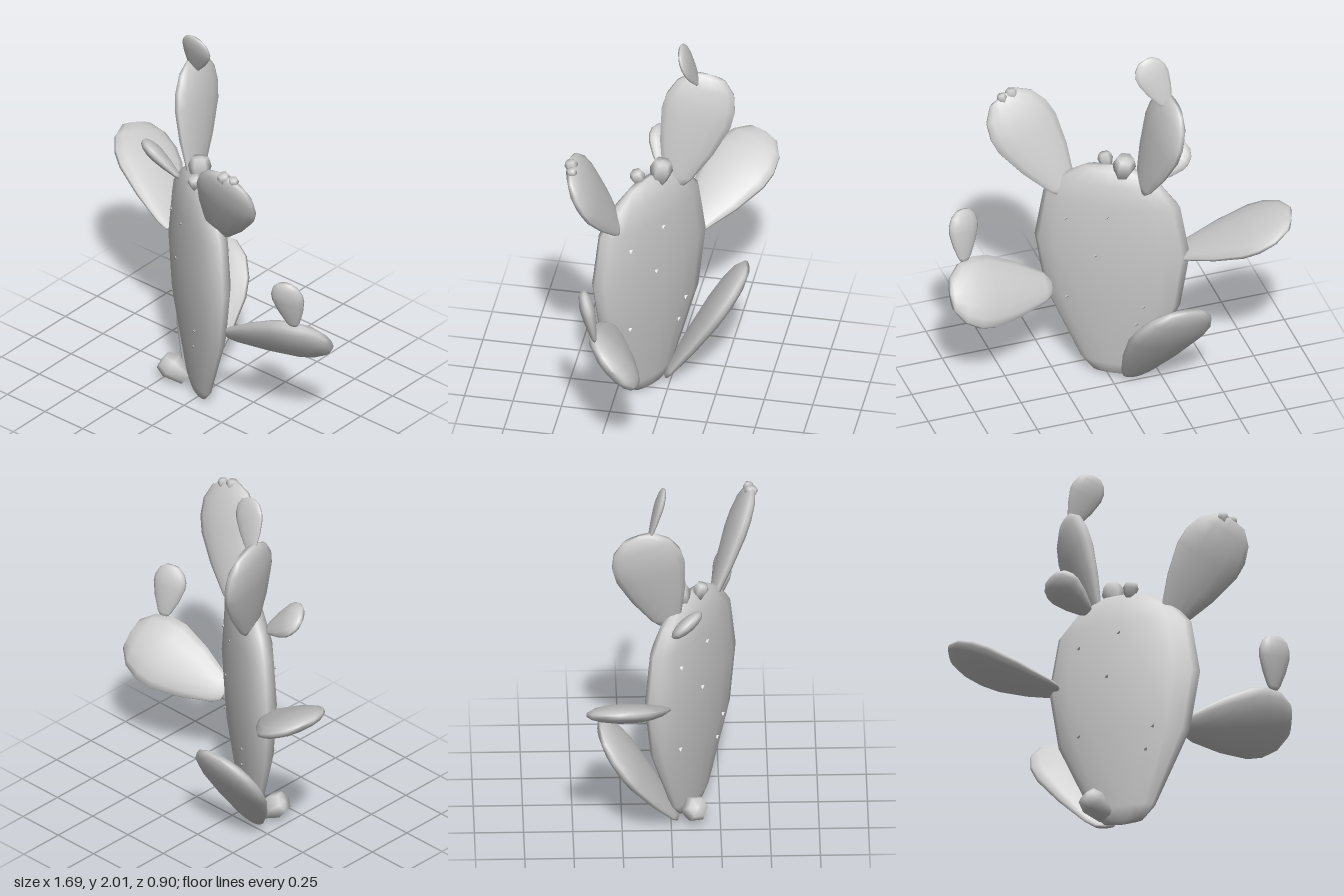
import * as THREE from 'three';

const material = new THREE.MeshStandardMaterial({ color: 0xcccccc });

// Outline profiles as [half width, position along the pad], both 0..1
const trunkOutline = [[0, 0], [0.26, 0.012], [0.42, 0.065], [0.87, 0.37], [1, 0.62],
  [0.88, 0.84], [0.64, 0.93], [0.35, 0.985], [0, 1]];
const padOutline = [[0, 0], [0.26, 0.01], [0.42, 0.08], [0.76, 0.34], [0.98, 0.6],
  [0.97, 0.74], [0.8, 0.88], [0.45, 0.98], [0, 1]];
const budOutline = [[0, 0], [0.6, 0], [1, 0.62], [0.75, 0.95], [0, 1]];

// Turns an object so its y axis follows dir and its z axis follows normal
function orient(object, dir, normal) {
  const y = dir.clone().normalize();
  const x = new THREE.Vector3().crossVectors(y, normal).normalize();
  const z = new THREE.Vector3().crossVectors(x, y);
  object.quaternion.setFromRotationMatrix(new THREE.Matrix4().makeBasis(x, y, z));
}

// Flattened lathe running from base to tip, with its flat side facing normal
function lathe(name, outline, sides, base, tip, normal, width, thickness) {
  const start = new THREE.Vector3(...base);
  const dir = new THREE.Vector3(...tip).sub(start);
  const geometry = new THREE.LatheGeometry(outline.map(p => new THREE.Vector2(...p)), sides);
  geometry.scale(width / 2, dir.length(), thickness / 2);
  const mesh = new THREE.Mesh(geometry, material);
  mesh.name = name;
  mesh.position.copy(start);
  orient(mesh, dir, new THREE.Vector3(...normal));
  return mesh;
}

export function createModel() {
  const group = new THREE.Group();
  group.name = 'pricklyPear';

  // Main pad
  const W = 0.81, T = 0.22, H = 1.29;
  const trunk = lathe('mainPad', trunkOutline, 16, [-0.03, 0, 0.1], [-0.02, H, 0.1],
    [-0.54, 0, 0.84], W, T);
  group.add(trunk);

  // Branch pads: name, base, tip, normal, width, thickness
  const pads = [
    ['upperLeftPad', [0.18, 1.1, 0.21], [0.46, 1.62, 0.42], [0, -0.375, 0.93], 0.37, 0.1],
    ['upperRightPad', [-0.14, 1.18, -0.01], [-0.27, 1.79, -0.17], [0.96, 0.22, -0.15], 0.38, 0.11],
    ['topPad', [-0.245, 1.75, -0.115], [-0.15, 2.0, -0.035], [0, -0.27, 0.96], 0.18, 0.045],
    ['rightArmPad', [-0.32, 0.78, -0.05], [-0.83, 1.07, -0.35], [0.49, 0.87, 0], 0.37, 0.1],
    ['leftArmPad', [0.26, 0.52, 0.22], [0.84, 0.67, 0.12], [0.34, -0.6, 0.72], 0.39, 0.13],
    ['leftArmSmallPad', [0.72, 0.77, 0.24], [0.71, 1.05, 0.3], [0.3, -0.2, 0.9], 0.18, 0.075],
    ['lowerBackPad', [-0.11, 0.01, 0.03], [-0.27, 0.62, -0.36], [0, 0.56, 0.83], 0.44, 0.11],
    ['smallShoulderPad', [-0.2, 1.19, 0.05], [-0.41, 1.35, 0.09], [0.2, 0.75, -0.6], 0.2, 0.075],
  ];
  for (const [name, ...rest] of pads) group.add(lathe(name, padOutline, 14, ...rest));

  // Fruit buds: base, tip, diameter
  const buds = [
    [[-0.06, 1.23, 0.06], [-0.075, 1.365, 0.035], 0.12],
    [[-0.01, 1.25, 0.14], [-0.003, 1.33, 0.165], 0.08],
    [[0.41, 1.58, 0.41], [0.405, 1.645, 0.425], 0.07],
    [[0.455, 1.58, 0.4], [0.465, 1.635, 0.41], 0.055],
    [[-0.12, 0.04, 0.09], [-0.24, 0.13, 0.14], 0.14],
  ];
  for (const [base, tip, d] of buds) {
    group.add(lathe('fruitBud', budOutline, 6, base, tip, [0.2, 0, 1], d, d));
  }

  // Spine nubs scattered over both faces of the main pad (across, height)
  const halfWidth = t => {
    const i = trunkOutline.findIndex(p => p[1] >= t);
    const [a, b] = [trunkOutline[i - 1], trunkOutline[i]];
    return THREE.MathUtils.mapLinear(t, a[1], b[1], a[0], b[0]);
  };
  const nub = new THREE.TetrahedronGeometry(0.014);
  const spots = [[0, 1.03], [-0.06, 0.79], [-0.22, 0.49], [0.18, 0.49], [0.14, 0.37], [-0.22, 0.98]];
  for (const side of [1, -1]) {
    for (const [x, y] of spots) {
      const r = halfWidth(y / H);
      const mesh = new THREE.Mesh(nub, material);
      mesh.name = 'spineNub';
      mesh.position.set(side * x, y, side * T / 2 * Math.sqrt(r * r - (2 * x / W) ** 2));
      trunk.add(mesh);
    }
  }
  return group;
}
